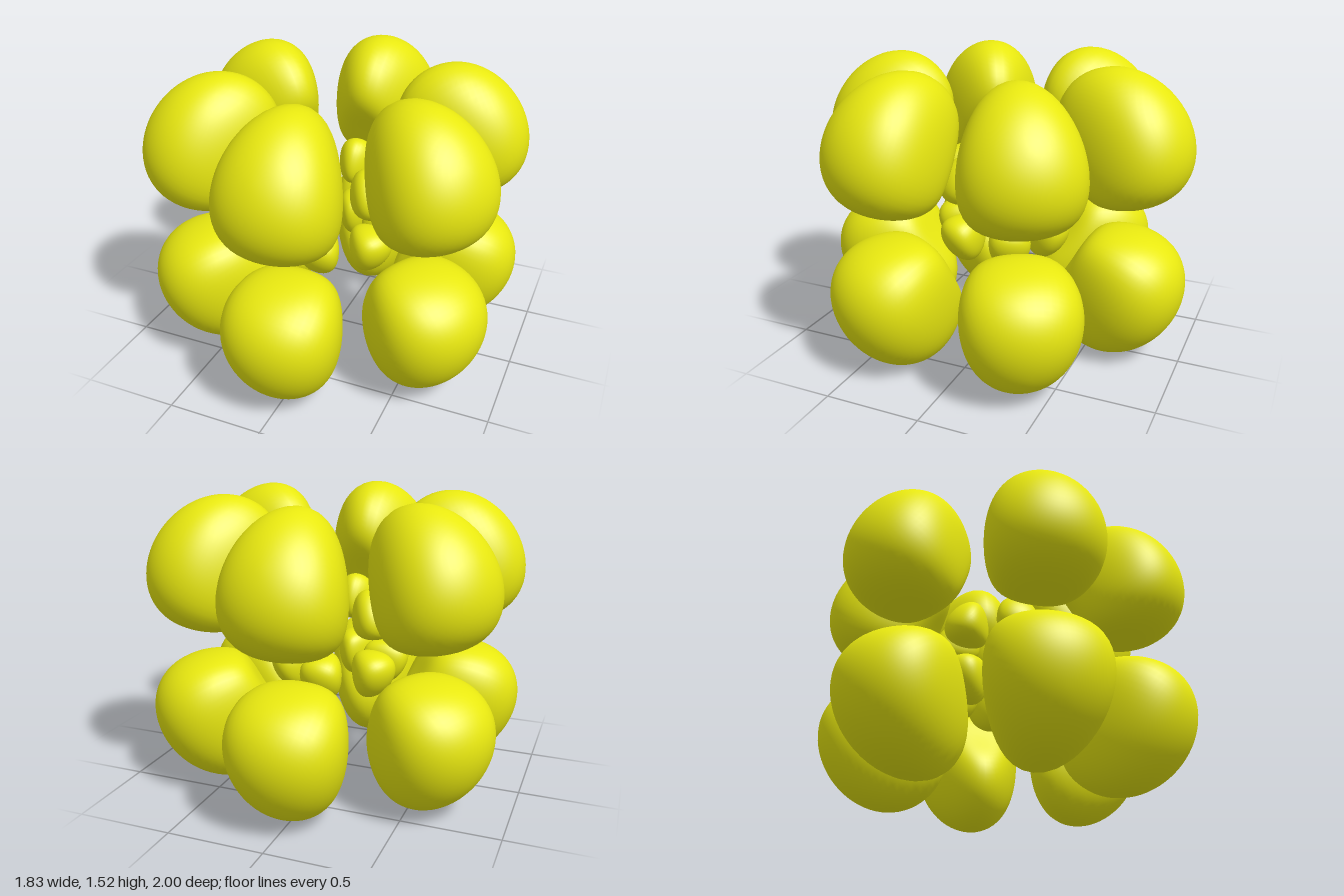
import * as THREE from 'three';
import { mergeVertices } from 'three/addons/utils/BufferGeometryUtils.js';

const LEVEL = 625; // surface level of the field

// Wave-like field: two radial shells, six sectors around y, odd about the mid-plane
function field(p) {
  const r = p.length();
  if (r < 1e-6) return 0;
  const h = Math.hypot(p.x, p.z) / r;
  const angular = (h ** 3 * (p.y / r) * Math.cos(3 * Math.atan2(p.x, p.z))) / 0.3248;
  return r ** 5 * Math.exp(-r / 2) * (r - 10) * angular;
}

// One closed lobe: push a sphere's vertices out from the lobe centre to the level surface
function lobeGeometry(radius, sign, wSeg, hSeg) {
  const axis = new THREE.Vector3(0, Math.sin(Math.PI / 6), Math.cos(Math.PI / 6));
  const centre = axis.clone().multiplyScalar(radius);
  let geo = new THREE.SphereGeometry(1, wSeg, hSeg);
  geo.deleteAttribute('uv');
  geo.deleteAttribute('normal');
  geo.applyQuaternion(new THREE.Quaternion().setFromUnitVectors(new THREE.Vector3(0, 1, 0), axis));
  geo = mergeVertices(geo, 1e-4);

  const pos = geo.attributes.position;
  const dir = new THREE.Vector3(), p = new THREE.Vector3();
  const inside = (t) => sign * field(p.copy(centre).addScaledVector(dir, t)) > LEVEL;
  for (let i = 0; i < pos.count; i++) {
    dir.fromBufferAttribute(pos, i).normalize();
    let hi = 0.1;
    while (inside(hi) && hi < 40) hi += 0.1;
    let lo = hi - 0.1;
    for (let k = 0; k < 16; k++) {
      const mid = (lo + hi) / 2;
      if (inside(mid)) lo = mid;
      else hi = mid;
    }
    p.copy(centre).addScaledVector(dir, lo);
    pos.setXYZ(i, p.x, p.y, p.z);
  }
  return geo;
}

export function createModel() {
  const model = new THREE.Group();
  model.name = 'lobedCluster';
  const material = new THREE.MeshStandardMaterial({ color: 0xe8e810 });

  const outer = lobeGeometry(15.8, 1, 56, 40);
  const inner = lobeGeometry(6.3, -1, 40, 28);

  // Fit the front lobe's reach to one unit and stand the cluster on the ground
  outer.computeBoundingBox();
  const scale = 1 / outer.boundingBox.max.z;
  const middle = outer.boundingBox.max.y * scale;
  for (const geo of [outer, inner]) {
    geo.scale(scale, scale, scale);
    geo.computeVertexNormals();
  }

  // Six lobes around each ring; the lower ring is the upper one turned over
  for (const [tier, flip] of [['upper', 0], ['lower', Math.PI]]) {
    const ring = new THREE.Group();
    ring.name = tier + 'Ring';
    ring.position.y = middle;
    ring.rotation.z = flip;
    for (let i = 0; i < 6; i++) {
      for (const [name, geo] of [['OuterLobe', outer], ['InnerLobe', inner]]) {
        const lobe = new THREE.Mesh(geo, material);
        lobe.name = tier + name + (i + 1);
        lobe.rotation.y = (i * Math.PI) / 3;
        ring.add(lobe);
      }
    }
    model.add(ring);
  }
  return model;
}
